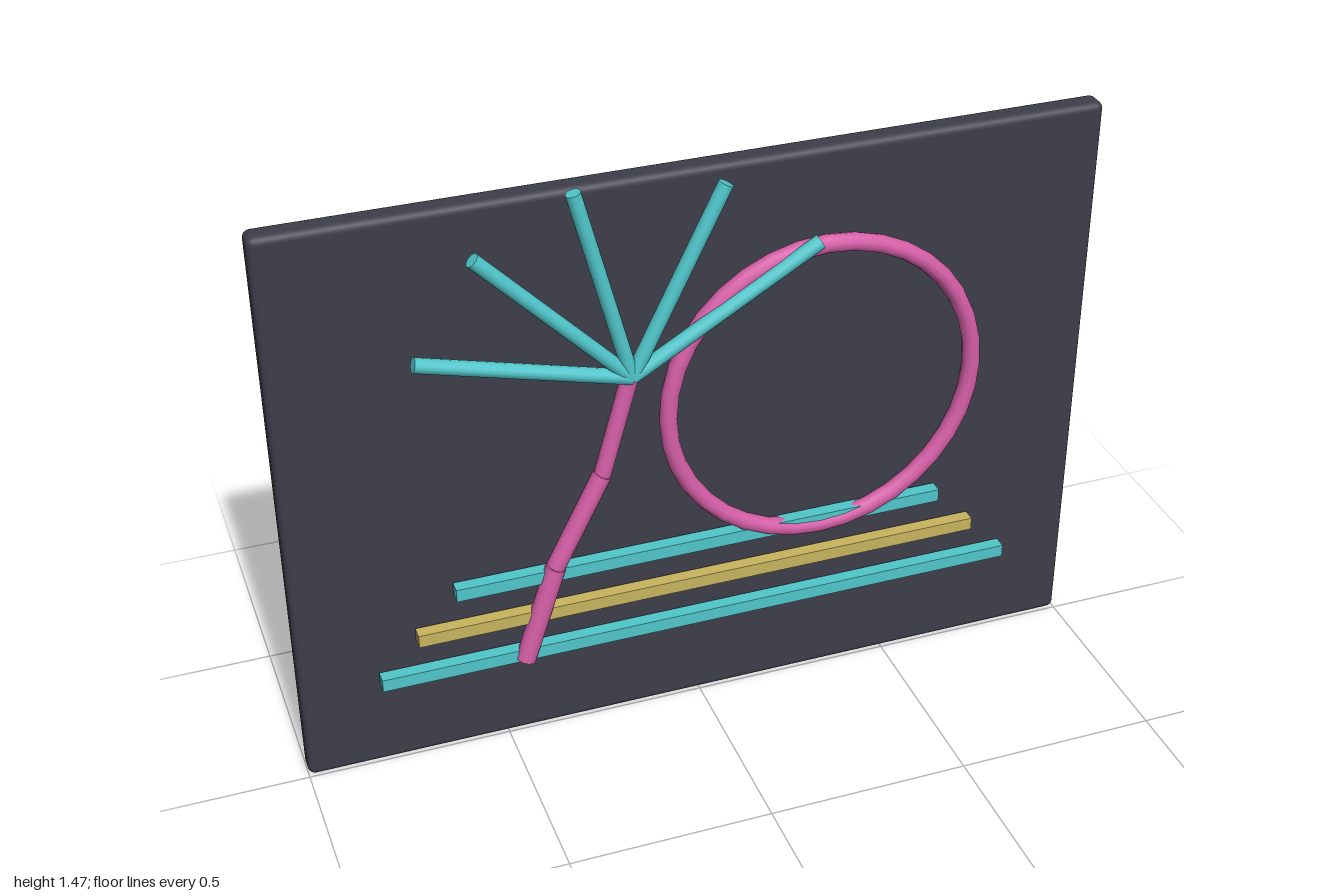
import * as THREE from 'three';
import { RoundedBoxGeometry } from 'three/addons/geometries/RoundedBoxGeometry.js';

function material(name, color) {
  const m = new THREE.MeshStandardMaterial({ color });
  m.name = name;
  return m;
}

export function createModel() {
  const group = new THREE.Group();
  const slate = material('slate', 0x3e3d4b);
  const pink = material('pink', 0xd65fa8);
  const teal = material('teal', 0x50c6cb);
  const gold = material('gold', 0xc8b45e);

  const add = (name, geometry, mat, x, y, z) => {
    const mesh = new THREE.Mesh(geometry, mat);
    mesh.name = name;
    mesh.position.set(x, y, z);
    group.add(mesh);
    return mesh;
  };

  // Straight tube between two points of the front plane
  const rod = (name, a, b, z, radius, mat) => {
    const dx = b[0] - a[0], dy = b[1] - a[1];
    const geometry = new THREE.CylinderGeometry(radius, radius, Math.hypot(dx, dy), 12);
    const mesh = add(name, geometry, mat, (a[0] + b[0]) / 2, (a[1] + b[1]) / 2, z);
    mesh.rotation.z = Math.atan2(-dx, dy);
  };

  // Backing panel
  add('panel', new RoundedBoxGeometry(2, 1.458, 0.063, 3, 0.018), slate, 0, 0.729, -0.032);

  // Sun ring
  add('sunRing', new THREE.TorusGeometry(0.387, 0.022, 10, 36), pink, 0.3, 0.842, 0.024);

  // Horizon bars, lowest and longest first
  [[0.256, 1.62, teal], [0.363, 1.43, gold], [0.472, 1.235, teal]].forEach(([y, width, mat], i) =>
    add(`horizonBar${i + 1}`, new THREE.BoxGeometry(width, 0.033, 0.033), mat, 0, y, 0.022));

  // Leaning palm trunk in three thinning pieces
  const trunk = [[-0.458, 0.243], [-0.374, 0.495], [-0.253, 0.73], [-0.18, 0.985]];
  for (let i = 0; i < 3; i++) {
    rod(`trunk${i + 1}`, trunk[i], trunk[i + 1], 0.034, 0.025 - i * 0.002, pink);
  }

  // Palm fronds fanning out from the crown
  const tips = [[-0.68, 1.118], [-0.535, 1.35], [-0.305, 1.47], [0.045, 1.435], [0.275, 1.25]];
  tips.forEach((tip, i) => rod(`frond${i + 1}`, [-0.18, 0.985], tip, 0.046, 0.018, teal));

  return group;
}
